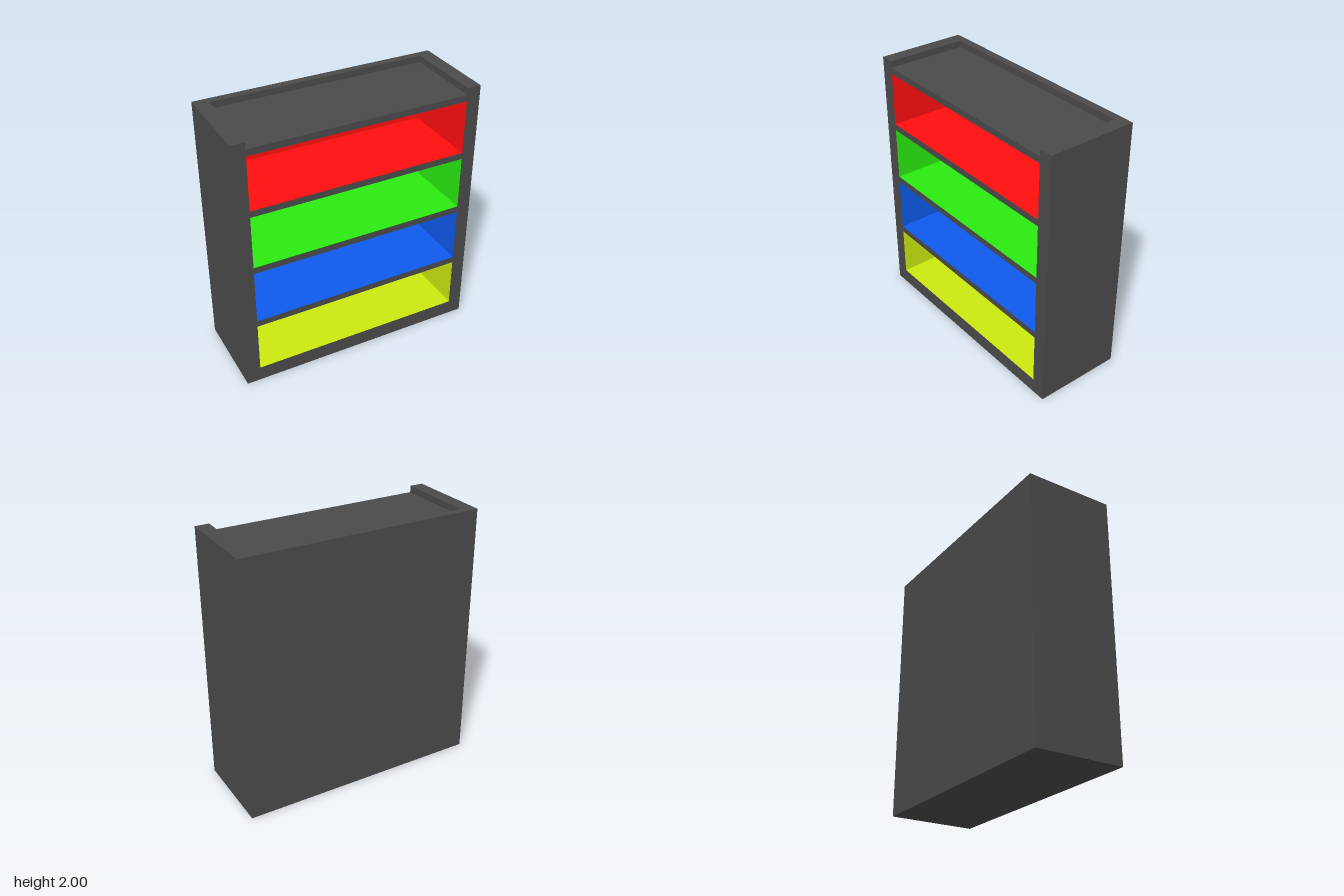
import * as THREE from 'three';

const W = 0.93, H = 2, D = 0.34;       // half width, height, half depth
const INNER = 0.825, TOP = 1.95;       // half width of the openings, height of the sunken top
const BACK = -0.28;                    // front of the back panel

export function createModel() {
  const group = new THREE.Group();
  group.name = 'bookcase';
  const grey = new THREE.MeshStandardMaterial({ color: 0x4a4a4a });
  const add = (name, geometry, material) => {
    const mesh = new THREE.Mesh(geometry, material);
    mesh.name = name;
    group.add(mesh);
    return mesh;
  };

  const bays = [
    ['red', 1.49, 1.90, 0xff0e0e],
    ['green', 1.03, 1.44, 0x2aea10],
    ['blue', 0.56, 0.98, 0x0d5aec],
    ['yellow', 0.115, 0.51, 0xcbe810],
  ];

  // Outline of the carcass, with raised sides beside the sunken top
  const outline = () => new THREE.Shape([
    [-W, 0], [W, 0], [W, H], [INNER, H], [INNER, TOP], [-INNER, TOP], [-INNER, H], [-W, H],
  ].map(([x, y]) => new THREE.Vector2(x, y)));

  // Carcass walls: only the side faces of the extrusion, as the bays fill the inside
  const solid = new THREE.ExtrudeGeometry(outline(), { depth: D - BACK, bevelEnabled: false });
  const side = solid.groups[1];
  const walls = new THREE.BufferGeometry();
  for (const key of ['position', 'normal']) {
    const part = solid.attributes[key].array.slice(side.start * 3, (side.start + side.count) * 3);
    walls.setAttribute(key, new THREE.BufferAttribute(part, 3));
  }
  add('carcassWalls', walls, grey).position.z = BACK;

  // Front frame with one opening per bay
  const front = outline();
  for (const [, y0, y1] of bays) {
    front.holes.push(new THREE.Path([
      new THREE.Vector2(-INNER, y0), new THREE.Vector2(-INNER, y1),
      new THREE.Vector2(INNER, y1), new THREE.Vector2(INNER, y0),
    ]));
  }
  add('frontFrame', new THREE.ShapeGeometry(front), grey).position.z = D;

  // Back panel, rising behind the sunken top
  add('backPanel', new THREE.BoxGeometry(2 * W, H, D + BACK), grey)
    .position.set(0, H / 2, (BACK - D) / 2);

  // Coloured bays: boxes left open at the front
  const bayBack = BACK + 0.004;
  for (const [name, y0, y1, color] of bays) {
    const bay = new THREE.BoxGeometry(2 * INNER, y1 - y0, D - bayBack);
    const index = Array.from(bay.index.array);
    index.splice(24, 6);
    bay.setIndex(index);
    bay.clearGroups();
    add(name + 'Bay', bay, new THREE.MeshStandardMaterial({ color, side: THREE.DoubleSide }))
      .position.set(0, (y0 + y1) / 2, (D + bayBack) / 2);
  }
  return group;
}
